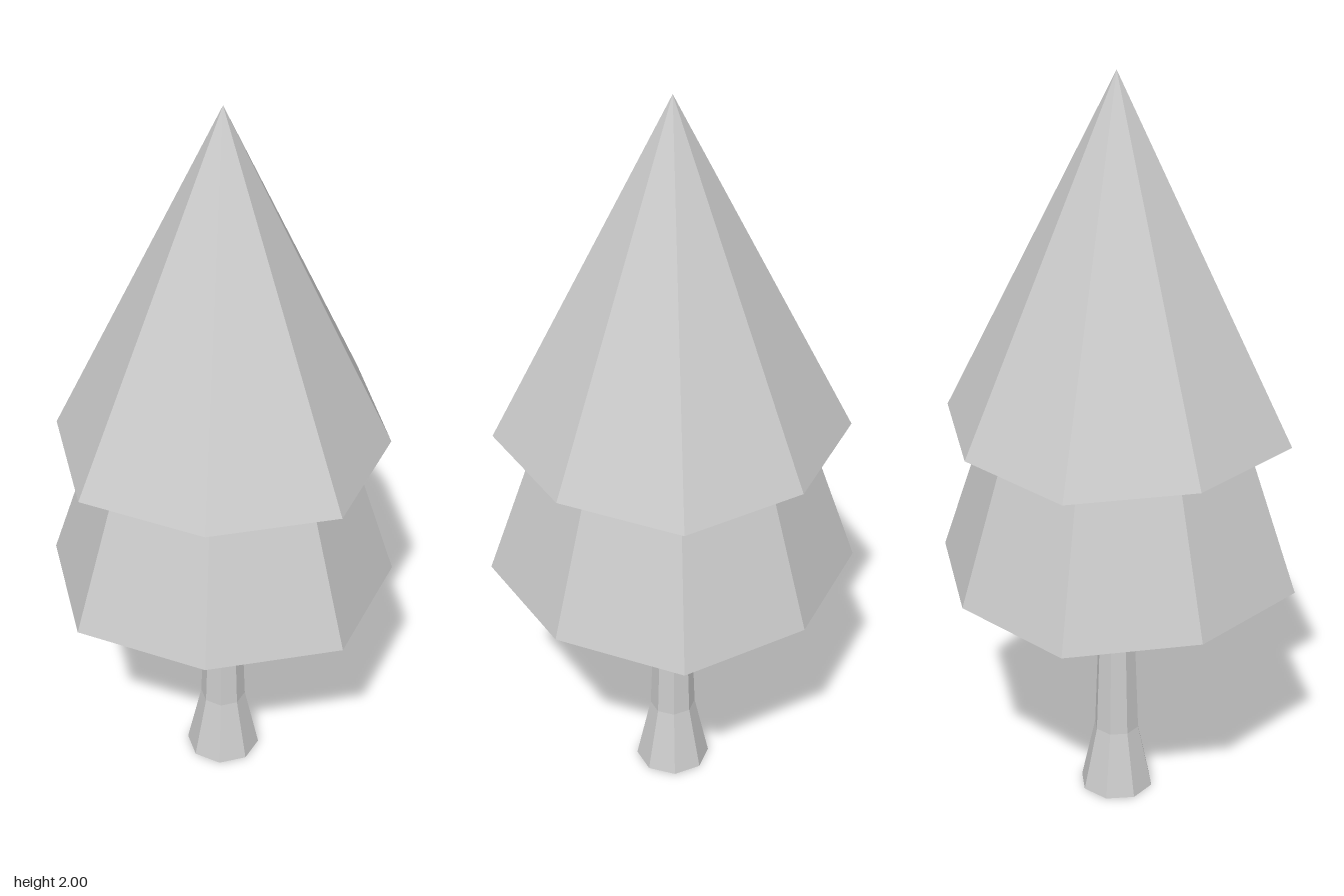
import * as THREE from 'three';

const SIDES = 8;

// Eight-sided faceted lathe; profile is [radius, y] from bottom to top.
// Corners lying on the diagonals are pushed outward by `corner`.
function facetedLathe(name, profile, corner, side) {
  const points = profile.map(([r, y]) => new THREE.Vector2(r, y));
  const geometry = new THREE.LatheGeometry(points, SIDES);
  const pos = geometry.attributes.position;
  for (let i = 0; i < pos.count; i++) {
    const x = pos.getX(i), z = pos.getZ(i);
    if (Math.min(Math.abs(x), Math.abs(z)) > 1e-4) {
      pos.setX(i, x * corner);
      pos.setZ(i, z * corner);
    }
  }
  geometry.computeVertexNormals();
  const material = new THREE.MeshStandardMaterial({ color: 0xcccccc, flatShading: true, side });
  const mesh = new THREE.Mesh(geometry, material);
  mesh.name = name;
  return mesh;
}

export function createModel() {
  const tree = new THREE.Group();
  tree.name = 'tree';

  // Flared trunk, open at the base
  tree.add(facetedLathe('trunk',
    [[0.098, 0], [0.06, 0.18], [0.049, 0.49], [0.071, 0.66]], 1, THREE.DoubleSide));

  // Lower foliage skirt with a flat underside
  tree.add(facetedLathe('lowerFoliage',
    [[0, 0.66], [0.443, 0.66], [0.317, 1.07]], 1.07, THREE.FrontSide));

  // Upper foliage cone with its overhanging rim
  tree.add(facetedLathe('upperFoliage',
    [[0.317, 1.07], [0.424, 1.07], [0, 2]], 1.07, THREE.FrontSide));

  return tree;
}
